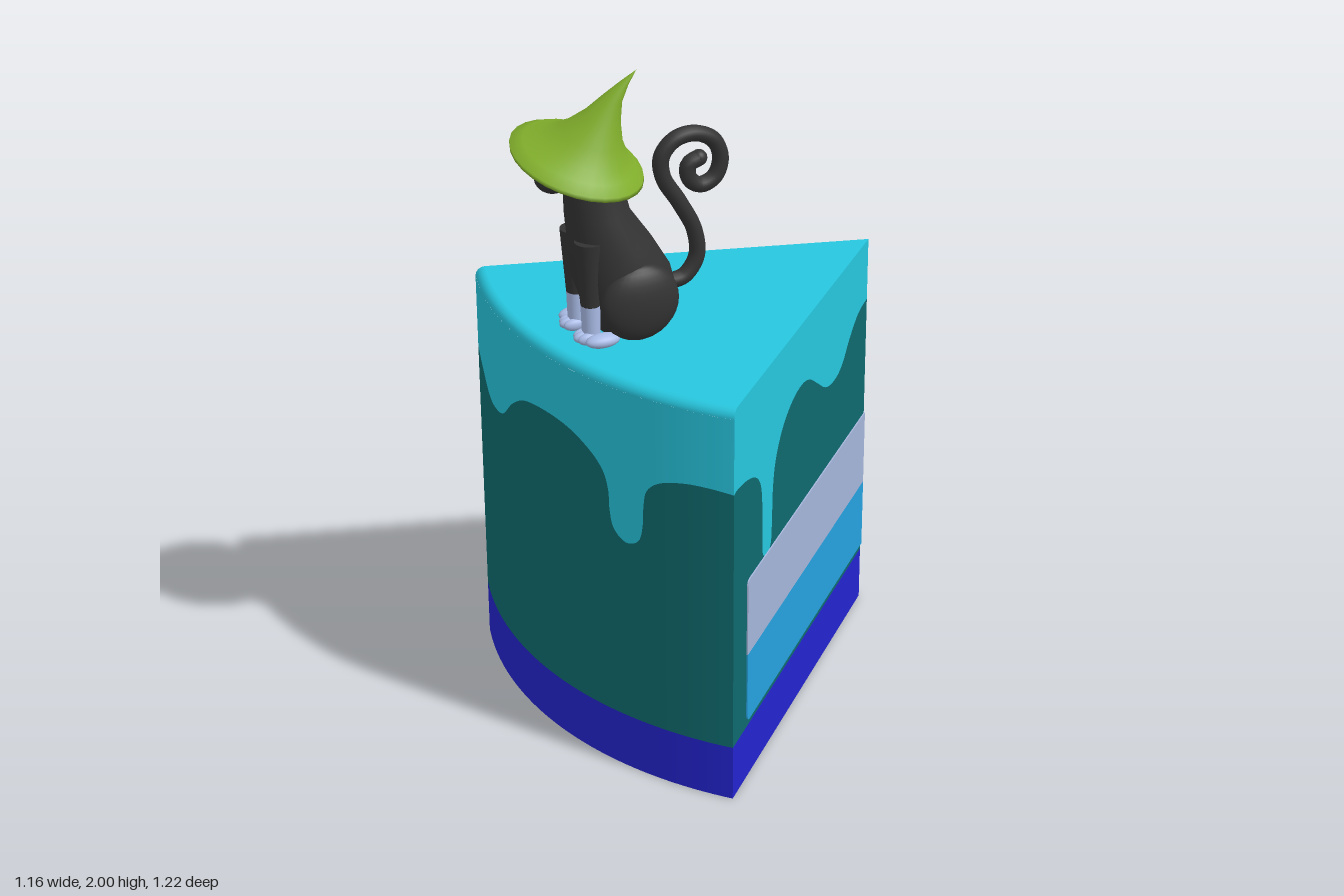
import * as THREE from 'three';
import { ParametricGeometry } from 'three/addons/geometries/ParametricGeometry.js';

const mat = (name, color, side = THREE.FrontSide) =>
  Object.assign(new THREE.MeshStandardMaterial({ color, side }), { name });

const M = {
  icing: mat('turquoise icing', 0x27c6de),
  sponge: mat('dark teal sponge', 0x0f6a6e),
  base: mat('deep blue base', 0x2323cf),
  cream: mat('lavender cream', 0xa6b6dc),
  jam: mat('bright blue filling', 0x25a1de),
  fur: mat('charcoal fur', 0x333333),
  sock: mat('pale blue socks', 0xa9bbe6),
  hat: mat('olive green hat', 0x82b02c, THREE.DoubleSide),
  eye: mat('slate eyes', 0x34424f),
};

const R = 1.16, HALF = Math.PI / 6, APEX = -0.61, TOP = 1.225, BASE = 0.17, BEVEL = 0.028;

function add(parent, name, geometry, material, x = 0, y = 0, z = 0) {
  const mesh = new THREE.Mesh(geometry, material);
  mesh.name = name;
  mesh.position.set(x, y, z);
  parent.add(mesh);
  return mesh;
}

function ball(parent, name, material, p, r) {
  const mesh = add(parent, name, new THREE.SphereGeometry(1, 24, 16), material, ...p);
  mesh.scale.set(...r);
  return mesh;
}

// Smooth skin through rings [cx, cy, cz, rx, rz], bottom to top; rings may lean
function loft(rings, n, leanX = 0, leanZ = 0) {
  const pos = [], idx = [];
  rings.forEach(([cx, cy, cz, rx, rz], j) => {
    for (let i = 0; i < n; i++) {
      const a = (i / n) * Math.PI * 2;
      const dx = rx * Math.sin(a), dz = rz * Math.cos(a);
      pos.push(cx + dx, cy + leanX * dx + leanZ * dz, cz + dz);
      if (!j) continue;
      const k = (i + 1) % n, lo = (j - 1) * n, hi = j * n;
      idx.push(lo + i, lo + k, hi + k, lo + i, hi + k, hi + i);
    }
  });
  const g = new THREE.BufferGeometry();
  g.setAttribute('position', new THREE.Float32BufferAttribute(pos, 3));
  g.setIndex(idx);
  g.computeVertexNormals();
  return g;
}

const polar = (a, r, y, out) => out.set(r * Math.sin(a), y, APEX + r * Math.cos(a));

// One cake wall: base, sponge and dripping icing share the wavy edge curve
function cakeWall(parent, name, edge, place, topAt, reverse) {
  const curve = new THREE.SplineCurve(edge.map(([s, y]) => new THREE.Vector2(s, y)));
  const bands = [
    ['Base', M.base, () => 0, () => BASE],
    ['Sponge', M.sponge, () => BASE, (p) => p.y],
    ['Icing', M.icing, (p) => p.y, (p) => topAt(p.x)],
  ];
  for (const [label, material, lo, hi] of bands) {
    const g = new ParametricGeometry((u, v, out) => {
      const p = curve.getPoint(reverse ? 1 - u : u);
      place(p.x, THREE.MathUtils.lerp(lo(p), hi(p), v), out);
    }, edge.length * 6, 1);
    add(parent, name + label, g, material);
  }
}

function makeCake() {
  const cake = new THREE.Group();
  cake.name = 'cakeSlice';

  // Curved front wall
  const frontEdge = [[-0.58, 0.975], [-0.5, 0.945], [-0.42, 0.895], [-0.36, 0.885], [-0.3, 0.9],
    [-0.23, 0.965], [-0.15, 1.01], [-0.04, 1.025], [0.06, 1.015], [0.14, 0.98], [0.19, 0.935],
    [0.21, 0.88], [0.214, 0.82], [0.228, 0.765], [0.27, 0.735], [0.312, 0.755], [0.326, 0.81],
    [0.329, 0.87], [0.34, 0.92], [0.38, 0.955], [0.45, 0.975], [0.52, 0.978], [0.58, 0.972]];
  cakeWall(cake, 'front', frontEdge,
    (x, y, out) => polar(Math.asin(x / R), R, y, out), () => TOP - BEVEL, false);

  // Flat cut sides
  const sideEdge = [[APEX, 1.03], [-0.54, 1.02], [-0.47, 0.975], [-0.41, 0.92], [-0.35, 0.903],
    [-0.28, 0.918], [-0.21, 0.97], [-0.15, 1.015], [-0.09, 1.033], [-0.02, 1.022], [0.05, 0.98],
    [0.1, 0.91], [0.12, 0.83], [0.125, 0.72], [0.132, 0.66], [0.16, 0.643], [0.188, 0.66],
    [0.194, 0.72], [0.198, 0.84], [0.213, 0.9], [0.25, 0.94], [0.31, 0.965], [0.37, 0.975],
    [0.3946, 0.972]];
  const sideTop = (z) => {
    const d = Math.max(0, (z - APEX) / Math.cos(HALF) - (R - BEVEL));
    return TOP - BEVEL + Math.sqrt(Math.max(0, BEVEL * BEVEL - d * d));
  };
  for (const s of [-1, 1]) {
    const side = s > 0 ? 'left' : 'right';
    cakeWall(cake, side, sideEdge,
      (z, y, out) => out.set(s * (z - APEX) * Math.tan(HALF), y, z), sideTop, s > 0);

    // Filling layers as thin plates, rounded at the outer corner
    const end = 1.052, r = 0.02;
    for (const [label, material, flat, round] of [
      ['Cream', M.cream, 0.41, 0.648], ['Filling', M.jam, 0.41, 0.19]]) {
      const k = Math.sign(round - flat);
      const shape = new THREE.Shape();
      shape.moveTo(0, flat);
      shape.lineTo(-s * end, flat);
      shape.lineTo(-s * end, round - k * r);
      shape.quadraticCurveTo(-s * end, round, -s * (end - r), round);
      shape.lineTo(0, round);
      const g = new THREE.ExtrudeGeometry(shape, { depth: 0.004, bevelEnabled: false });
      add(cake, side + label, g, material, 0, 0, APEX).rotation.y = s * Math.PI * 2 / 3;
    }
  }

  // Rounded rim, top and underside
  const angle = (u) => (u * 2 - 1) * HALF;
  add(cake, 'icingRim', new ParametricGeometry((u, v, out) => {
    const b = v * Math.PI / 2;
    polar(angle(u), R - BEVEL + BEVEL * Math.cos(b), TOP - BEVEL + BEVEL * Math.sin(b), out);
  }, 24, 4), M.icing);
  add(cake, 'icingTop', new ParametricGeometry((u, v, out) =>
    polar(angle(u), (R - BEVEL) * (1 - v * 0.9999), TOP, out), 24, 4), M.icing);
  add(cake, 'underside', new ParametricGeometry((u, v, out) =>
    polar(angle(u), R * (0.0001 + v * 0.9999), 0, out), 24, 4), M.sponge);
  return cake;
}

function makeCat() {
  const cat = new THREE.Group();
  cat.name = 'cat';
  cat.position.set(-0.03, TOP, 0.42);
  cat.rotation.y = -0.25;

  // Body, neck and head
  add(cat, 'body', loft([
    [0, 0, -0.14, 0, 0], [0, 0.002, -0.14, 0.08, 0.09], [0, 0.03, -0.14, 0.11, 0.12],
    [0, 0.09, -0.137, 0.125, 0.137], [0, 0.18, -0.11, 0.12, 0.14], [0, 0.27, -0.08, 0.108, 0.117],
    [0, 0.36, -0.045, 0.09, 0.09], [0, 0.43, -0.035, 0.076, 0.083], [0, 0.5, -0.02, 0.07, 0.075],
    [0, 0.53, -0.02, 0, 0]], 28), M.fur);
  ball(cat, 'head', M.fur, [0, 0.512, 0.01], [0.108, 0.082, 0.108]);
  ball(cat, 'muzzle', M.fur, [0, 0.477, 0.085], [0.055, 0.036, 0.045]);
  ball(cat, 'nose', M.fur, [0, 0.496, 0.128], [0.014, 0.009, 0.008]);

  for (const s of [-1, 1]) {
    const side = s > 0 ? 'left' : 'right';
    ball(cat, side + 'Eye', M.eye, [s * 0.046, 0.52, 0.1], [0.02, 0.016, 0.012]);
    ball(cat, side + 'Haunch', M.fur, [s * 0.098, 0.115, -0.125], [0.05, 0.112, 0.115]);
    ball(cat, side + 'HindPaw', M.sock, [s * 0.095, 0.02, -0.015], [0.027, 0.02, 0.05]);
    // Front leg with sock and toes
    add(cat, side + 'FrontLeg', new THREE.CylinderGeometry(0.042, 0.027, 0.2, 20), M.fur,
      s * 0.05, 0.2, 0);
    add(cat, side + 'Sock', new THREE.CylinderGeometry(0.028, 0.025, 0.1, 20), M.sock,
      s * 0.05, 0.062, 0);
    for (const t of [-1, 0, 1]) {
      ball(cat, side + 'Toe', M.sock, [s * 0.05 + t * 0.017, 0.018, 0.012 + (t ? 0 : 0.006)],
        [0.015, 0.018, 0.034]);
    }
  }
  return cat;
}

// Curled tail, given as [z, y] points along the cat's centre plane
function makeTail() {
  const tail = new THREE.Group();
  tail.name = 'tail';
  const pts = [[0.19, 1.335], [0.128, 1.342], [0.09, 1.395], [0.096, 1.475], [0.139, 1.565],
    [0.187, 1.65], [0.19, 1.71], [0.153, 1.752], [0.096, 1.761], [0.04, 1.732], [0.019, 1.676],
    [0.037, 1.623], [0.08, 1.607], [0.112, 1.634], [0.112, 1.672], [0.082, 1.687]]
    .map(([z, y]) => new THREE.Vector3(-0.03 - (z - 0.42) * 0.255, y, z));
  add(tail, 'tailCurl', new THREE.TubeGeometry(new THREE.CatmullRomCurve3(pts), 96, 0.023, 12), M.fur);
  for (const p of [pts[0], pts[pts.length - 1]]) ball(tail, 'tailEnd', M.fur, p.toArray(), [0.023, 0.023, 0.023]);
  return tail;
}

export function createModel() {
  const model = new THREE.Group();
  model.name = 'cakeWithCat';
  model.add(makeCake(), makeCat(), makeTail());

  // Pointed hat: tilted brim sweeping up to a bent tip
  const rings = [[-0.03, 1.762, 0.43, 0.09], [-0.03, 1.745, 0.43, 0.16], [-0.03, 1.738, 0.432, 0.178],
    [-0.03, 1.75, 0.432, 0.178], [-0.022, 1.77, 0.428, 0.15], [-0.01, 1.787, 0.42, 0.118],
    [0.01, 1.825, 0.408, 0.08], [0.027, 1.875, 0.387, 0.048], [0.042, 1.925, 0.365, 0.026],
    [0.057, 1.967, 0.335, 0.011], [0.07, 2.0, 0.305, 0]];
  add(model, 'hat', loft(rings.map(([x, y, z, r]) => [x, y, z, r, r]), 28, -0.31, 0.14), M.hat);
  return model;
}
